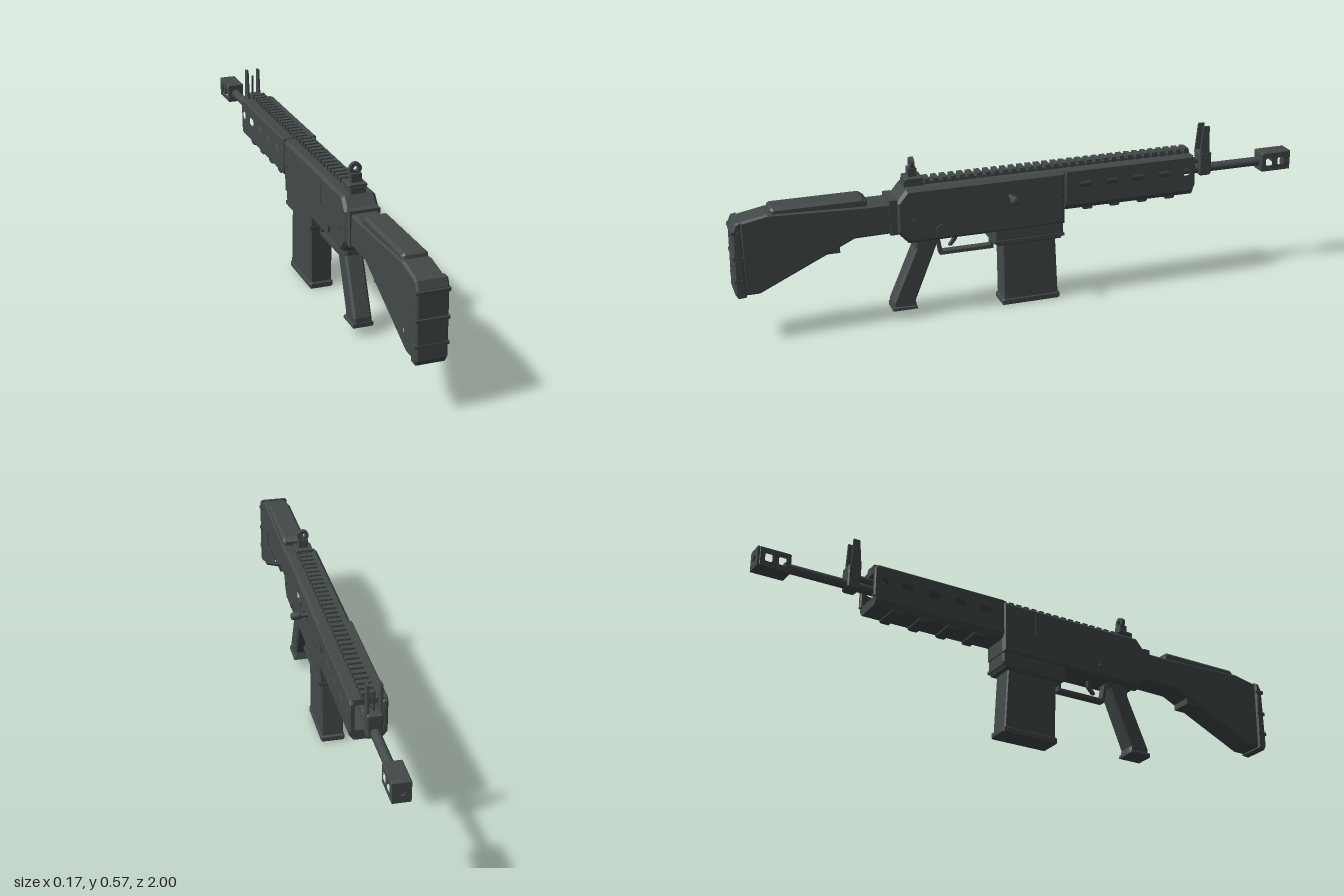
import * as THREE from 'three';

export function createModel() {
  const model = new THREE.Group();
  model.name = 'rifle';
  const gunmetal = new THREE.MeshStandardMaterial({ color: 0x434a4a });
  gunmetal.name = 'gunmetal';
  const body = new THREE.Group();
  body.name = 'body';
  body.position.x = -0.023; // the side handle offsets the body from the centre
  model.add(body);

  const add = (name, geo, x = 0, y = 0, z = 0) => {
    const m = new THREE.Mesh(geo, gunmetal);
    m.name = name;
    m.position.set(x, y, z);
    body.add(m);
    return m;
  };
  // box given by its extents
  const box = (name, x0, x1, y0, y1, z0, z1) => add(name,
    new THREE.BoxGeometry(x1 - x0, y1 - y0, z1 - z0), (x0 + x1) / 2, (y0 + y1) / 2, (z0 + z1) / 2);
  // cylinder along x, y or z
  const rod = (name, axis, r, len, x, y, z, sides = 20) => {
    const g = new THREE.CylinderGeometry(r, r, len, sides);
    if (axis === 'x') g.rotateZ(Math.PI / 2);
    if (axis === 'z') g.rotateX(Math.PI / 2);
    return add(name, g, x, y, z);
  };
  // side profile of [z, y] points extruded across x, with optional holes
  const side = (name, pts, half, bevel = 0, holes = [], x = 0) => {
    const path = (list) => list.map(([z, y]) => new THREE.Vector2(-z, y));
    const shape = new THREE.Shape(path(pts));
    holes.forEach((h) => shape.holes.push(new THREE.Path(path(h))));
    const g = new THREE.ExtrudeGeometry(shape, {
      depth: 2 * (half - bevel), bevelEnabled: bevel > 0, bevelSize: bevel,
      bevelOffset: -bevel, bevelThickness: bevel, bevelSegments: 1, curveSegments: 8,
    });
    g.translate(0, 0, -(half - bevel));
    g.rotateY(Math.PI / 2);
    return add(name, g, x);
  };
  // rectangle with cut corners, as [z, y] points
  const slot = (z0, z1, y0, y1, c = 0.008) => [
    [z0 + c, y0], [z1 - c, y0], [z1, y0 + c], [z1, y1 - c],
    [z1 - c, y1], [z0 + c, y1], [z0, y1 - c], [z0, y0 + c]];
  const circle = (z, y, r, n = 16) => Array.from({ length: n }, (_, i) => {
    const a = (i / n) * Math.PI * 2;
    return [z + r * Math.cos(a), y + r * Math.sin(a)];
  });

  // stock with recessed side panels, cheek rest and butt pad
  side('stock', [[0.97, 0.425], [0.88, 0.442], [0.56, 0.43], [0.47, 0.43], [0.47, 0.322],
    [0.6, 0.32], [0.92, 0.17], [0.97, 0.17]], 0.046, 0.007,
  [slot(0.67, 0.89, 0.287, 0.35, 0.018), circle(0.905, 0.235, 0.014)]);
  box('stockPanelFloor', -0.037, 0.037, 0.275, 0.36, 0.65, 0.91);
  box('stockBoltHead', -0.039, 0.039, 0.218, 0.252, 0.888, 0.922);
  side('cheekRest', [[0.875, 0.425], [0.87, 0.452], [0.862, 0.458], [0.57, 0.458], [0.552, 0.445], [0.552, 0.42]], 0.041, 0.009);
  side('buttPad', [[0.968, 0.428], [0.985, 0.425], [0.996, 0.4], [1.0, 0.18], [0.99, 0.163], [0.963, 0.165]], 0.051, 0.006);
  [0.225, 0.305, 0.392].forEach((y) => side('buttPadBand', slot(0.968, 1.0, y - 0.006, y + 0.006, 0.002), 0.053));
  box('stockCollar', -0.05, 0.05, 0.318, 0.44, 0.455, 0.482);

  // receiver with ejection port on the left
  side('receiver', [[0.46, 0.43], [0.425, 0.472], [-0.13, 0.472], [-0.13, 0.282], [0.42, 0.282], [0.46, 0.325]],
    0.057, 0.01, [slot(0.01, 0.22, 0.385, 0.432, 0.01)]);
  box('ejectionPortFloor', -0.05, 0.046, 0.375, 0.442, 0.0, 0.23);
  box('receiverSidePlate', -0.059, -0.054, 0.37, 0.447, -0.005, 0.235);
  [[0.4, 0.36], [-0.105, 0.385]].forEach(([z, y]) => rod('receiverPin', 'x', 0.009, 0.119, 0, y, z, 12));
  rod('selectorPivot', 'x', 0.017, 0.126, 0, 0.322, 0.31, 16);
  side('selectorLever', [[0.325, 0.312], [0.325, 0.334], [0.255, 0.33], [0.255, 0.318]], 0.003, 0, [], -0.061);

  // charging handle
  rod('chargingHandleShaft', 'x', 0.007, 0.05, 0.06, 0.405, 0.065, 14);
  const knob = new THREE.LatheGeometry([[0, 0], [0.01, 0], [0.013, 0.004], [0.013, 0.028], [0.01, 0.033], [0, 0.033]]
    .map(([r, y]) => new THREE.Vector2(r, y)), 16);
  knob.rotateZ(-Math.PI / 2);
  add('chargingHandleKnob', knob, 0.075, 0.405, 0.065);

  // magazine well and magazine with grooved sides
  side('magazineWell', [[0.122, 0.29], [-0.126, 0.29], [-0.126, 0.245], [-0.118, 0.228], [0.112, 0.228], [0.122, 0.245]], 0.05, 0.005);
  box('magazineWellLip', -0.053, 0.053, 0.238, 0.248, -0.128, 0.124);
  side('magazine', [[0.09, 0.24], [-0.1, 0.24], [-0.112, 0.015], [0.086, 0.015]], 0.038, 0.004,
    [0.047, -0.003, -0.053].map((z) => [[z, 0.215], [z - 0.012, 0.215], [z - 0.02, 0.04], [z - 0.008, 0.04]]));
  box('magazineCore', -0.033, 0.033, 0.02, 0.235, -0.095, 0.08);
  side('magazineBase', slot(-0.118, 0.092, 0, 0.023, 0.004), 0.041, 0.004);

  // pistol grip
  side('grip', [[0.395, 0.29], [0.3, 0.29], [0.318, 0.262], [0.33, 0.23], [0.398, 0.06], [0.392, 0.036],
    [0.476, 0.036], [0.475, 0.065], [0.395, 0.25]], 0.031, 0.007);
  side('gripCap', [[0.395, 0.045], [0.392, 0.033], [0.478, 0.033], [0.478, 0.048]], 0.036, 0.003);

  // trigger and guard
  side('triggerGuard', [[0.318, 0.285], [0.305, 0.21], [0.115, 0.21], [0.115, 0.285], [0.125, 0.285],
    [0.125, 0.222], [0.296, 0.222], [0.308, 0.285]], 0.014);
  side('trigger', [[0.255, 0.285], [0.24, 0.285], [0.243, 0.258], [0.262, 0.236], [0.272, 0.236], [0.256, 0.26]], 0.007);

  // hollow handguard with side vents
  const vents = [-0.2, -0.298, -0.395, -0.492, -0.578].map((z, i) => {
    const w = i === 4 ? 0.017 : 0.025;
    return slot(z - w, z + w, 0.403, 0.436);
  });
  for (const s of [-1, 1]) {
    side('handguardSide', [[-0.128, 0.474], [-0.6, 0.474], [-0.612, 0.462], [-0.612, 0.36], [-0.128, 0.36]],
      0.008, 0.004, vents, s * 0.052);
  }
  box('handguardTop', -0.052, 0.052, 0.455, 0.474, -0.605, -0.128);
  const tray = new THREE.Shape([[-0.06, 0.365], [-0.06, 0.35], [-0.046, 0.332], [0.046, 0.332], [0.06, 0.35], [0.06, 0.365]]
    .map(([x, y]) => new THREE.Vector2(x, y)));
  add('handguardBottom', new THREE.ExtrudeGeometry(tray, { depth: 0.477, bevelEnabled: false }), 0, 0, -0.605);
  [-0.215, -0.315, -0.418, -0.522].forEach((z) =>
    side('handguardRib', slot(z - 0.019, z + 0.019, 0.323, 0.34, 0.005), 0.046));

  // top rail
  box('railBase', -0.018, 0.018, 0.465, 0.481, -0.604, 0.42);
  for (let i = 0; i < 32; i++) {
    const z = 0.345 - i * 0.0302;
    box('railTooth', -0.023, 0.023, 0.474, 0.492, z - 0.009, z + 0.009);
  }

  // rear sight
  box('rearSightClamp', -0.025, 0.025, 0.472, 0.492, 0.36, 0.425);
  side('rearSightBase', slot(0.362, 0.422, 0.49, 0.503, 0.003), 0.031, 0.003);
  box('rearSightPost', -0.017, 0.017, 0.5, 0.532, 0.38, 0.408);
  const ring = new THREE.Shape();
  ring.absarc(0, 0, 0.02, 0, Math.PI * 2);
  const aperture = new THREE.Path();
  aperture.absarc(0, 0, 0.008, 0, Math.PI * 2, true);
  ring.holes.push(aperture);
  add('rearSightRing', new THREE.ExtrudeGeometry(ring, { depth: 0.014, bevelEnabled: false, curveSegments: 14 }), 0, 0.546, 0.386);

  // barrel and front sight
  rod('barrel', 'z', 0.016, 0.82, 0, 0.405, -0.49);
  rod('gasTube', 'z', 0.011, 0.12, 0, 0.437, -0.615, 14);
  side('frontSightBlock', slot(-0.69, -0.645, 0.384, 0.47, 0.006), 0.025, 0.004);
  for (const s of [-1, 1]) {
    side('frontSightProng', [[-0.682, 0.46], [-0.677, 0.565], [-0.655, 0.565], [-0.645, 0.46]], 0.0035, 0, [], s * 0.021);
  }
  box('frontSightPost', -0.003, 0.003, 0.46, 0.542, -0.668, -0.662);

  // muzzle brake with side ports and a bored front plate
  side('muzzleBrake', slot(-0.994, -0.887, 0.372, 0.442, 0.004), 0.03, 0.003,
    [slot(-0.932, -0.902, 0.391, 0.423, 0.004), slot(-0.978, -0.948, 0.391, 0.423, 0.004)]);
  const plate = new THREE.Shape([[-0.029, -0.034], [0.029, -0.034], [0.029, 0.034], [-0.029, 0.034]]
    .map(([x, y]) => new THREE.Vector2(x, y)));
  const bore = new THREE.Path();
  bore.absarc(0, 0, 0.011, 0, Math.PI * 2, true);
  plate.holes.push(bore);
  add('muzzlePlate', new THREE.ExtrudeGeometry(plate, { depth: 0.007, bevelEnabled: false }), 0, 0.407, -1.0);

  return model;
}
